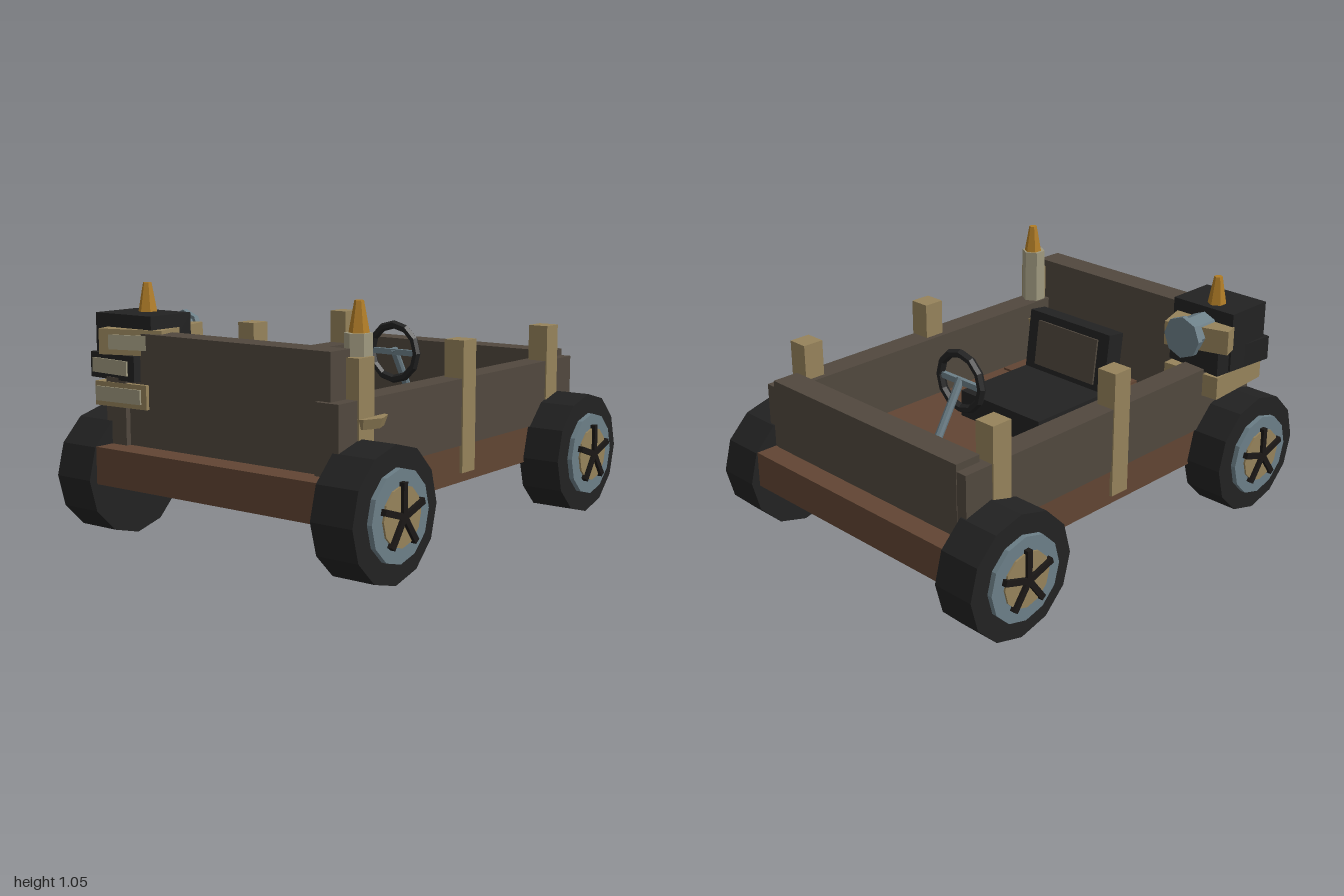
import * as THREE from 'three';

const mat = (name, color) => {
  const m = new THREE.MeshStandardMaterial({ color, flatShading: true });
  m.name = name;
  return m;
};

export function createModel() {
  const wall = mat('weathered wood', 0x51483e);
  const floorWood = mat('red brown wood', 0x614533);
  const tan = mat('tan wood', 0x96835b);
  const black = mat('black', 0x222222);
  const steel = mat('blue steel', 0x6c7f88);
  const cream = mat('cream', 0x9f997f);
  const amber = mat('amber', 0xb07c26);
  const spokeBlack = mat('spoke black', 0x1b1816);

  const model = new THREE.Group();
  model.name = 'cart';

  const add = (name, geometry, material, x, y, z, parent = model) => {
    const mesh = new THREE.Mesh(geometry, material);
    mesh.name = name;
    mesh.position.set(x, y, z);
    parent.add(mesh);
    return mesh;
  };
  // Box given by its minimum and maximum on each axis
  const box = (name, material, [x0, x1], [y0, y1], [z0, z1], parent) =>
    add(name, new THREE.BoxGeometry(x1 - x0, y1 - y0, z1 - z0), material,
      (x0 + x1) / 2, (y0 + y1) / 2, (z0 + z1) / 2, parent);
  const cyl = (r0, r1, h, n) => new THREE.CylinderGeometry(r0, r1, h, n);

  // Floor with raised planks at the front
  box('floor', floorWood, [-0.59, 0.59], [0.245, 0.4], [-0.96, 0.96]);
  for (let i = -2; i <= 2; i++) {
    const x = i * 0.195;
    box('floorPlank', floorWood, [x - 0.08, x + 0.08], [0.4, 0.41], [0.4, 0.74]);
  }

  // Walls
  box('backWall', wall, [-0.55, 0.55], [0.4, 0.705], [-0.865, -0.745]);
  box('frontWall', wall, [-0.545, 0.545], [0.4, 0.86], [0.725, 0.845]);
  for (const s of [-1, 1]) {
    const side = add('sideWall', new THREE.BoxGeometry(0.11, 0.275, 1.73), wall, s * 0.543, 0.5375, 0.003);
    side.name = s > 0 ? 'leftWall' : 'rightWall';
    for (const z of [-0.68, 0, 0.705]) {
      add('post', new THREE.BoxGeometry(0.092, 0.545, 0.095), tan, s * 0.558, 0.5575, z);
    }
  }

  // Wheels with rim, hub plate and five spokes
  for (const s of [-1, 1]) {
    for (const z of [-0.735, 0.735]) {
      const wheel = new THREE.Group();
      wheel.name = 'wheel';
      wheel.position.set(s * 0.57, 0.265, z);
      wheel.rotation.y = s > 0 ? 0 : Math.PI;
      model.add(wheel);
      const disc = (name, material, r, x0, x1, n) => {
        const g = cyl(r, r, x1 - x0, n).rotateZ(Math.PI / 2);
        add(name, g, material, (x0 + x1) / 2, 0, 0, wheel);
      };
      disc('tyre', black, 0.265, 0, 0.19, 12);
      disc('rim', steel, 0.18, 0.19, 0.212, 12);
      disc('hubPlate', tan, 0.118, 0.212, 0.22, 12);
      for (let i = 0; i < 5; i++) {
        const g = new THREE.BoxGeometry(0.022, 0.13, 0.025).translate(0, 0.065, 0);
        add('spoke', g, spokeBlack, 0.223, 0, 0, wheel).rotation.x = (i * Math.PI * 2) / 5;
      }
    }
  }

  // Seat facing the rear, with a leaning backrest
  box('seatCushion', black, [-0.235, 0.235], [0.4, 0.52], [-0.1, 0.36]);
  const backrest = new THREE.Group();
  backrest.name = 'backrest';
  backrest.position.set(0, 0.5, 0.35);
  backrest.rotation.x = 0.13;
  model.add(backrest);
  box('backrestFrame', black, [-0.235, 0.235], [0, 0.28], [-0.045, 0.045], backrest);
  box('backrestPanel', wall, [-0.175, 0.175], [0.04, 0.245], [-0.054, -0.045], backrest);

  // Steering wheel, crossbar and column
  add('steeringWheel', new THREE.TorusGeometry(0.123, 0.019, 6, 12), black, 0, 0.703, -0.32);
  box('steeringBar', steel, [-0.11, 0.11], [0.69, 0.716], [-0.33, -0.31]);
  const top = new THREE.Vector3(0, 0.715, -0.32);
  const foot = new THREE.Vector3(0, 0.395, -0.51);
  const mid = top.clone().add(foot).multiplyScalar(0.5);
  const column = add('steeringColumn', cyl(0.018, 0.018, top.distanceTo(foot), 8), steel, mid.x, mid.y, mid.z);
  column.quaternion.setFromUnitVectors(new THREE.Vector3(0, 1, 0), top.clone().sub(foot).normalize());

  // Candle on its dish
  const flame = (x, y, z) => add('flame', cyl(0.018, 0.04, 0.12, 6), amber, x, y + 0.055, z);
  add('candleDish', cyl(0.11, 0.095, 0.04, 8), tan, 0.543, 0.585, 0.67);
  add('candle', cyl(0.054, 0.054, 0.315, 6), cream, 0.543, 0.7575, 0.675);
  flame(0.543, 0.92, 0.67);

  // Lantern box with a steel lens and a flame on top
  box('lanternBox', black, [-0.69, -0.375], [0.675, 0.93], [0.6, 0.83]);
  add('lensBarrel', cyl(0.076, 0.076, 0.15, 8).rotateX(Math.PI / 2), steel, -0.54, 0.83, 0.535);
  add('lensRim', cyl(0.092, 0.092, 0.025, 8).rotateX(Math.PI / 2), steel, -0.54, 0.83, 0.46);
  flame(-0.55, 0.935, 0.67);

  // Crooked stack of blocks with cream front plates
  const blocks = [
    { m: tan, w: 0.275, d: 0.34, y0: 0.555, y1: 0.655, x: -0.525, z: 0.7, turn: 0.06, plate: 0.24 },
    { m: black, w: 0.28, d: 0.32, y0: 0.665, y1: 0.77, x: -0.55, z: 0.705, turn: -0.1, plate: 0.22 },
    { m: tan, w: 0.285, d: 0.375, y0: 0.77, y1: 0.875, x: -0.52, z: 0.68, turn: 0.3, plate: 0.17 },
  ];
  for (const b of blocks) {
    const block = new THREE.Group();
    block.name = 'stackBlock';
    block.position.set(b.x, (b.y0 + b.y1) / 2, b.z);
    block.rotation.y = b.turn;
    model.add(block);
    const h = b.y1 - b.y0;
    add('blockBody', new THREE.BoxGeometry(b.w, h, b.d), b.m, 0, 0, 0, block);
    add('blockPlate', new THREE.BoxGeometry(b.plate, 0.06, 0.009), cream, -0.01, 0, b.d / 2 + 0.004, block);
  }

  return model;
}
